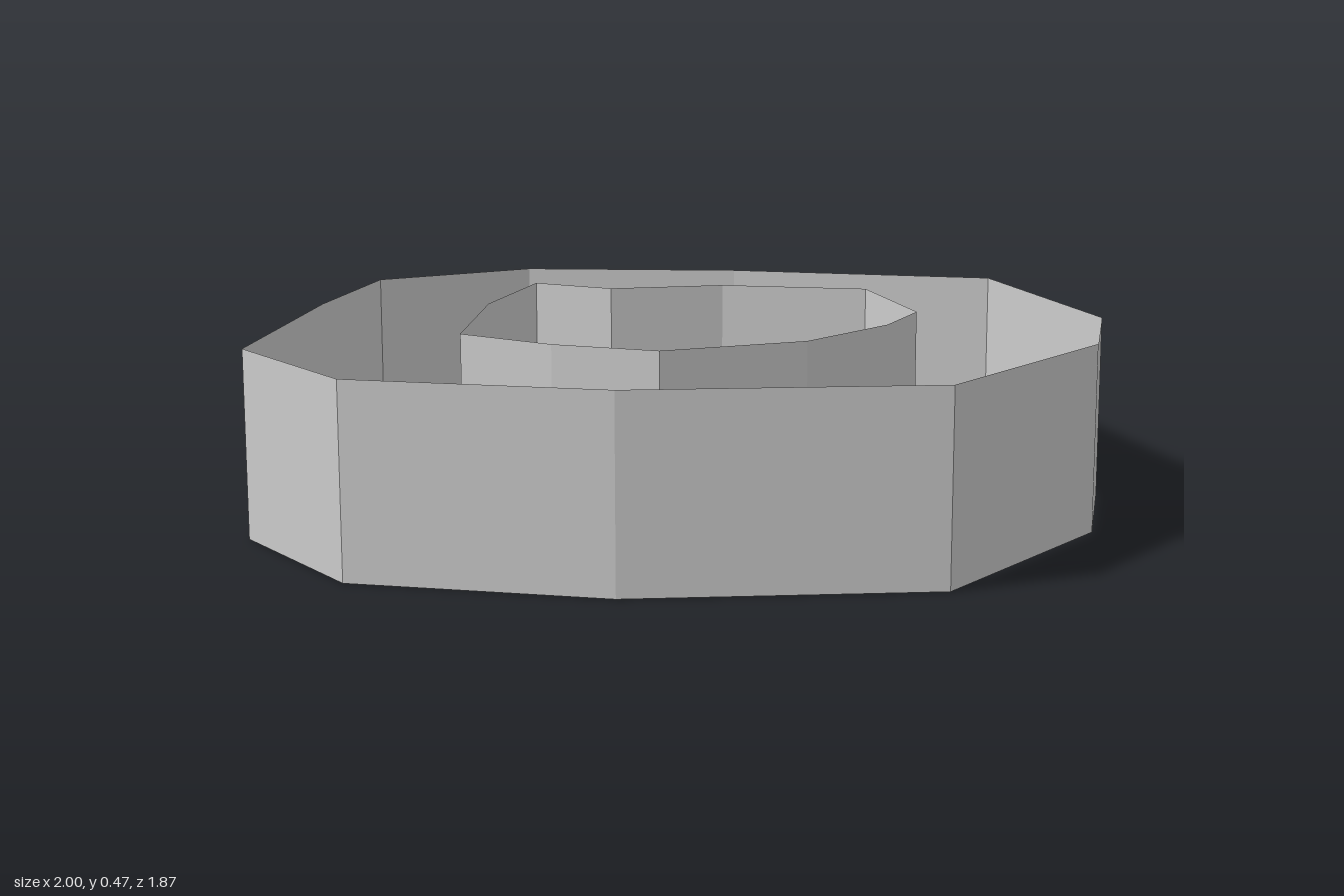
import * as THREE from 'three';

// Thin vertical wall standing on y = 0, following a closed plan of [x, z] corners
function makeWall(name, plan, height) {
  const positions = [];
  plan.forEach(([x0, z0], i) => {
    const [x1, z1] = plan[(i + 1) % plan.length];
    positions.push(
      x0, 0, z0, x1, 0, z1, x1, height, z1,
      x0, 0, z0, x1, height, z1, x0, height, z0
    );
  });
  const geometry = new THREE.BufferGeometry();
  geometry.setAttribute('position', new THREE.Float32BufferAttribute(positions, 3));
  geometry.computeVertexNormals();
  const material = new THREE.MeshStandardMaterial({
    color: 0xcccccc, flatShading: true, side: THREE.DoubleSide,
  });
  const mesh = new THREE.Mesh(geometry, material);
  mesh.name = name;
  return mesh;
}

export function createModel() {
  const group = new THREE.Group();
  group.name = 'nestedWalls';

  // Plans run from the front left-hand side, across the front, round to the back
  const outerPlan = [
    [-1, 0.51], [-0.69, 0.865], [-0.085, 0.935], [0.62, 0.81],
    [0.96, 0.26], [1, -0.14], [0.74, -0.835], [0.02, -0.93],
    [-0.57, -0.91], [-0.945, -0.645], [-0.99, -0.185],
  ];
  const innerPlan = [
    [-0.525, 0.345], [-0.29, 0.47], [-0.035, 0.535], [0.29, 0.37],
    [0.47, 0.115], [0.54, -0.095], [0.405, -0.485], [0.02, -0.52],
    [-0.27, -0.43], [-0.485, -0.515], [-0.545, -0.13],
  ];
  group.add(makeWall('outerWall', outerPlan, 0.45));
  group.add(makeWall('innerWall', innerPlan, 0.465));
  return group;
}
